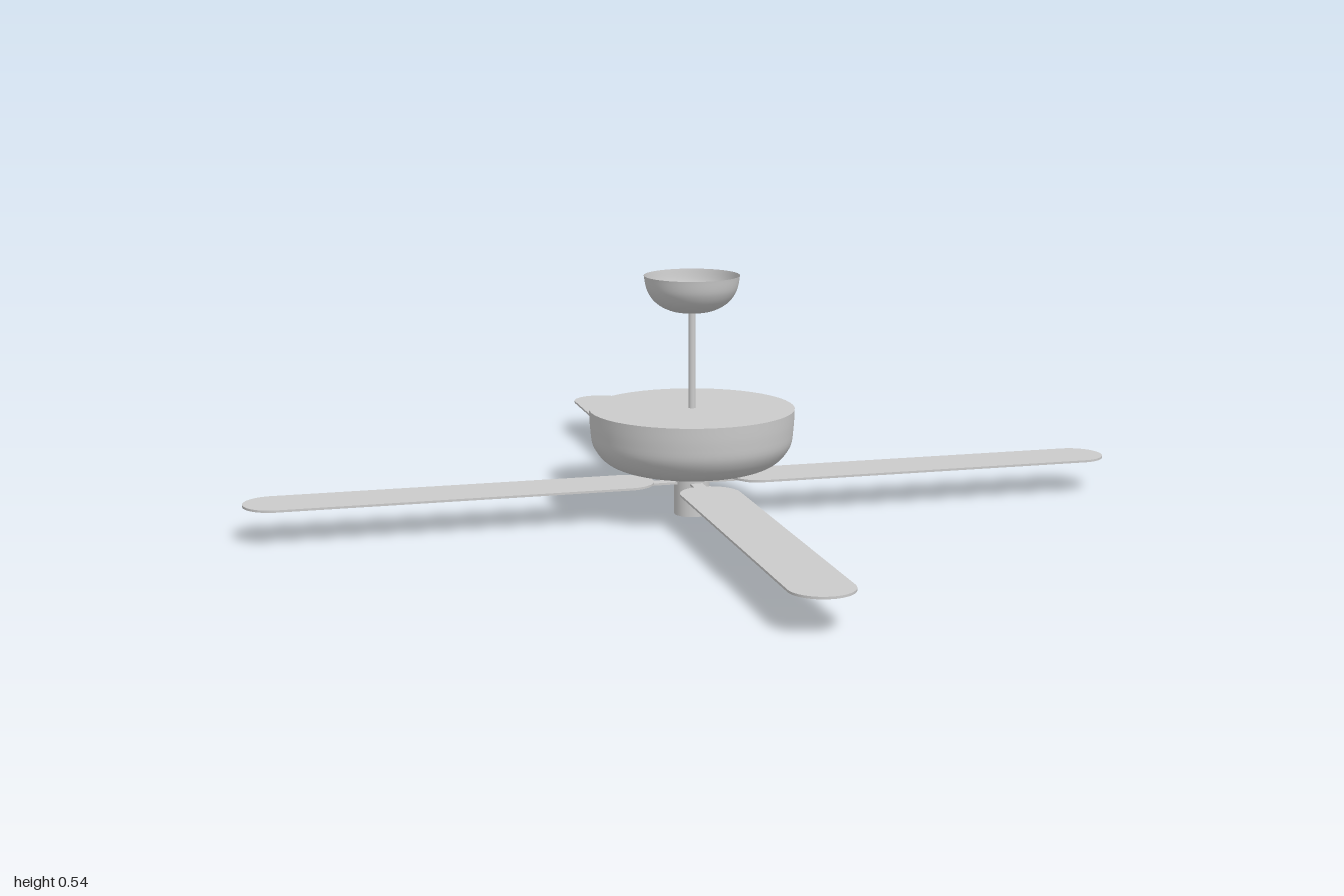
import * as THREE from 'three';

const material = new THREE.MeshStandardMaterial({ color: 0xcccccc, side: THREE.DoubleSide });

function addMesh(parent, name, geometry, y = 0) {
  const mesh = new THREE.Mesh(geometry, material);
  mesh.name = name;
  mesh.position.y = y;
  parent.add(mesh);
  return mesh;
}

// Revolves a smooth curve through [radius, height] points
function bowl(points) {
  const curve = new THREE.SplineCurve(points.map(([r, y]) => new THREE.Vector2(r, y)));
  const profile = curve.getPoints(28);
  profile.forEach((p) => { p.x = Math.max(p.x, 0); });
  return new THREE.LatheGeometry(profile, 48);
}

// Flat bar with round ends, lying along +x
function roundedBar(start, end, halfWidth, thickness) {
  const shape = new THREE.Shape();
  shape.absarc(end - halfWidth, 0, halfWidth, -Math.PI / 2, Math.PI / 2);
  shape.absarc(start + halfWidth, 0, halfWidth, Math.PI / 2, Math.PI * 1.5);
  const geometry = new THREE.ExtrudeGeometry(shape, { depth: thickness, bevelEnabled: false, curveSegments: 20 });
  return geometry.rotateX(-Math.PI / 2);
}

export function createModel() {
  const fan = new THREE.Group();
  fan.name = 'ceilingFan';

  // Open ceiling cup and the rod hanging from it
  addMesh(fan, 'canopy', bowl([[0, 0.46], [0.045, 0.464], [0.08, 0.482], [0.1, 0.51], [0.107, 0.543]]));
  addMesh(fan, 'downrod', new THREE.CylinderGeometry(0.008, 0.008, 0.225, 16), 0.3525);

  // Motor housing: rounded bowl with a flat lid
  addMesh(fan, 'motorHousing', bowl([
    [0, 0.1], [0.09, 0.101], [0.15, 0.108], [0.195, 0.126], [0.222, 0.16], [0.229, 0.2], [0.231, 0.243],
  ]));
  addMesh(fan, 'motorLid', new THREE.CircleGeometry(0.231, 48).rotateX(-Math.PI / 2), 0.243);

  // Hub below the motor
  addMesh(fan, 'hub', new THREE.CylinderGeometry(0.04, 0.04, 0.102, 32), 0.051);

  // Four blades, each held by a narrow arm and a round pad underneath
  for (let i = 0; i < 4; i++) {
    const blade = new THREE.Group();
    blade.name = `bladeAssembly${i + 1}`;
    blade.rotation.y = (i * Math.PI) / 2;
    addMesh(blade, 'blade', roundedBar(0.09, 1, 0.067, 0.005), 0.077);
    addMesh(blade, 'bracketArm', roundedBar(0.02, 0.14, 0.014, 0.005), 0.072);
    const pad = addMesh(blade, 'bracketPad', new THREE.CylinderGeometry(0.038, 0.038, 0.007, 32), 0.0735);
    pad.position.x = 0.15;
    fan.add(blade);
  }
  return fan;
}
